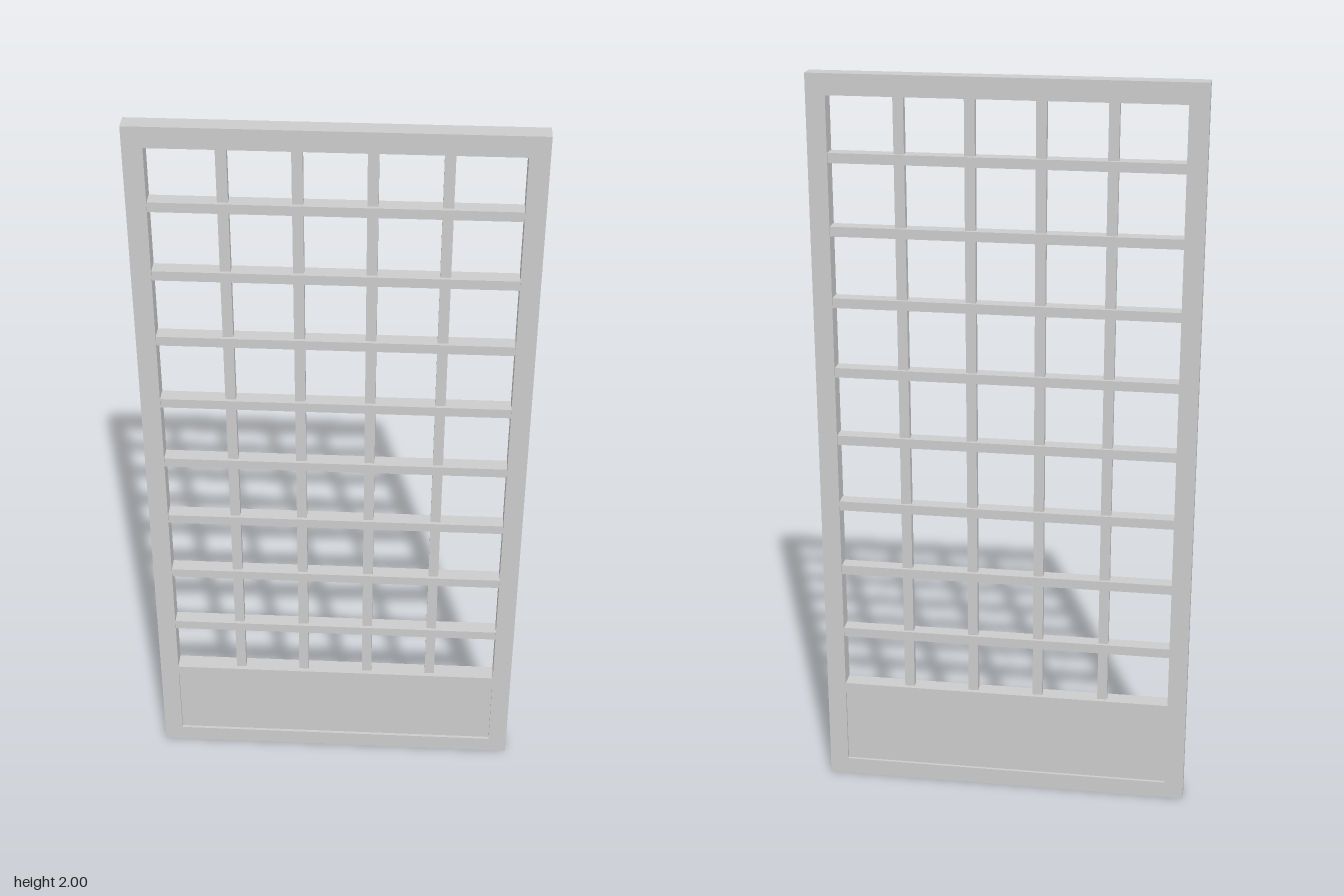
import * as THREE from 'three';

export function createModel() {
  const group = new THREE.Group();
  const material = new THREE.MeshStandardMaterial({ color: 0xcccccc, flatShading: true });

  const W = 1.01, H = 2, D = 0.048;       // overall size
  const inner = 0.454;                    // half width of the openings
  const panelBottom = 0.047, panelTop = 0.262;
  const gridBottom = 0.29, gridTop = 1.945;

  const add = (name, geometry, x = 0, y = 0, z = 0) => {
    const mesh = new THREE.Mesh(geometry, material);
    mesh.name = name;
    mesh.position.set(x, y, z);
    group.add(mesh);
  };

  const rectangle = (Type, x, y0, y1) => {
    const path = new Type();
    path.moveTo(-x, y0);
    path.lineTo(x, y0);
    path.lineTo(x, y1);
    path.lineTo(-x, y1);
    path.closePath();
    return path;
  };

  // Frame: stiles and rails in one piece, with a grid opening and a panel opening
  const outline = rectangle(THREE.Shape, W / 2, 0, H);
  outline.holes.push(
    rectangle(THREE.Path, inner, panelBottom, panelTop),
    rectangle(THREE.Path, inner, gridBottom, gridTop)
  );
  add('frame', new THREE.ExtrudeGeometry(outline, { depth: D, bevelEnabled: false }), 0, 0, -D / 2);

  // Recessed kick panel
  add('lowerPanel', new THREE.BoxGeometry(inner * 2, panelTop - panelBottom, 0.032),
    0, (panelTop + panelBottom) / 2, 0);

  // Horizontal lattice bars, nearly as deep as the frame
  for (let i = 0; i < 8; i++) {
    add('horizontalBar', new THREE.BoxGeometry(inner * 2, 0.026, 0.04), 0, 0.449 + i * 0.191, 0);
  }

  // Thinner vertical lattice bars
  for (let i = 0; i < 4; i++) {
    add('verticalBar', new THREE.BoxGeometry(0.027, gridTop - gridBottom, 0.022),
      (i - 1.5) * 0.181, (gridTop + gridBottom) / 2, 0);
  }

  return group;
}
